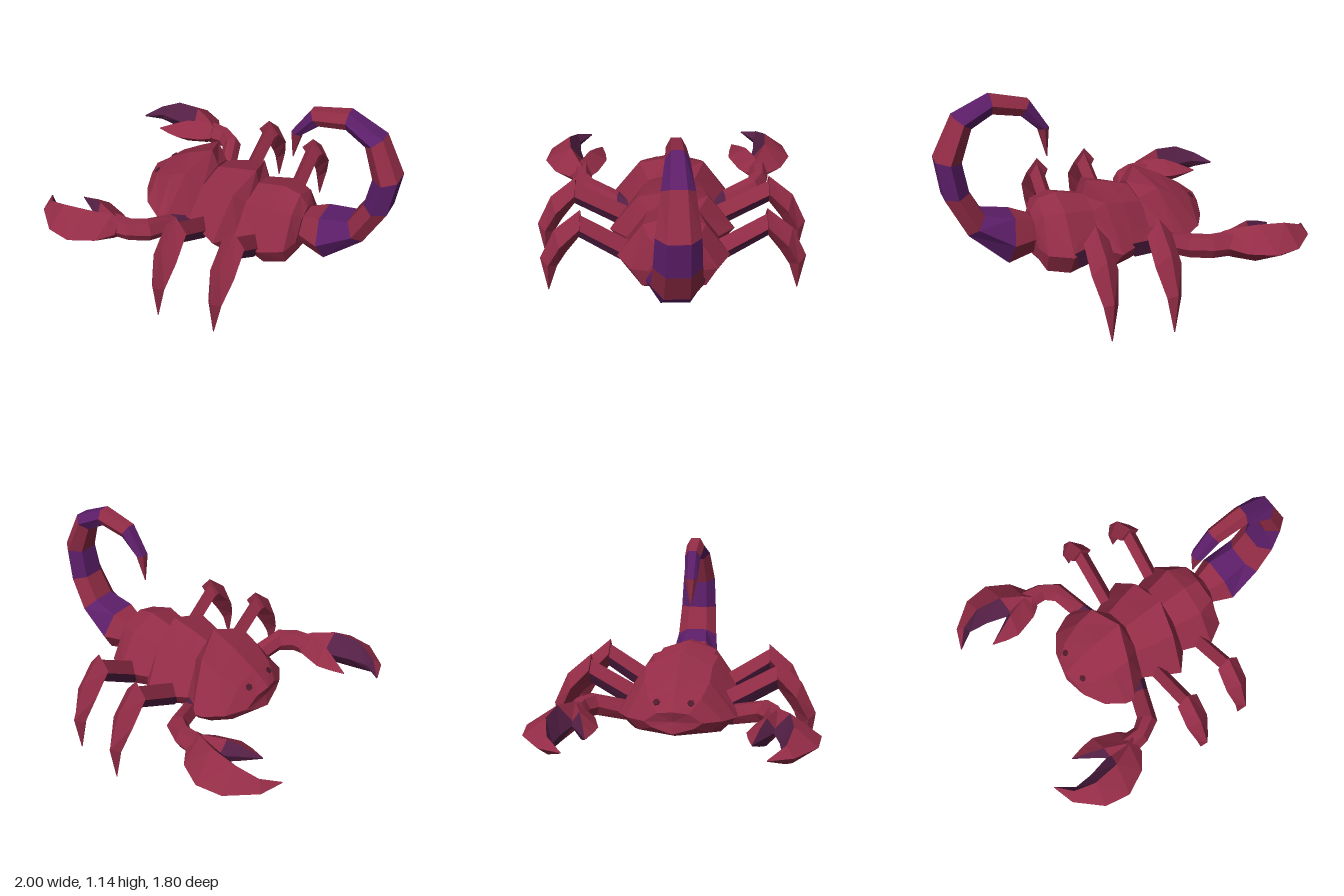
import * as THREE from 'three';

const V = (x, y, z) => new THREE.Vector3(x, y, z);
const colour = (name, hex) => {
  const m = new THREE.MeshStandardMaterial({ color: hex, flatShading: true });
  m.name = name;
  return m;
};

export function createModel() {
  const red = colour('crimson shell', 0x932c46);
  const purple = colour('purple bands', 0x5c1e69);
  const plum = colour('plum inner faces', 0x552046);
  const dark = colour('dark eyes', 0x4d1a2c);

  const model = new THREE.Group();
  model.name = 'scorpion';
  const body = new THREE.Group(); // local x runs from head to tail
  body.name = 'body';
  body.rotation.y = 0.405;
  body.position.set(-0.023, 0, -0.055);
  model.add(body);

  // Skin a row of rings, cap both ends; pick(i, j) chooses a material per face
  function loft(name, rings, pick = () => 0, side = 1) {
    const n = rings[0].length, tris = [];
    const centre = r => r.reduce((s, p) => s.add(p), V(0, 0, 0)).divideScalar(n);
    const add = (m, a, b, c) => tris.push({ m, p: [a, b, c] });
    for (let i = 0; i < rings.length - 1; i++) {
      for (let j = 0; j < n; j++) {
        const k = (j + 1) % n, a = rings[i], b = rings[i + 1], m = pick(i, j);
        add(m, a[j], a[k], b[k]);
        add(m, a[j], b[k], b[j]);
      }
    }
    const first = rings[0], last = rings[rings.length - 1];
    const c0 = centre(first), c1 = centre(last);
    for (let j = 0; j < n; j++) {
      const k = (j + 1) % n;
      add(0, c0, first[k], first[j]);
      add(0, c1, last[j], last[k]);
    }
    // Turn every face outwards whatever the ring direction
    let vol = 0;
    for (const { p } of tris) {
      vol += p[0].clone().sub(c0).dot(p[1].clone().sub(c0).cross(p[2].clone().sub(c0)));
    }
    const flip = vol * side < 0;
    tris.sort((s, t) => s.m - t.m);
    const pos = [], geo = new THREE.BufferGeometry();
    tris.forEach(({ m, p }, i) => {
      for (const q of flip ? [p[0], p[2], p[1]] : p) pos.push(q.x, q.y, q.z * side);
      const g = geo.groups[geo.groups.length - 1];
      if (g && g.materialIndex === m) g.count += 3;
      else geo.addGroup(i * 3, 3, m);
    });
    geo.setAttribute('position', new THREE.Float32BufferAttribute(pos, 3));
    geo.computeVertexNormals();
    const mesh = new THREE.Mesh(geo, [red, purple, plum]);
    mesh.name = name;
    body.add(mesh);
  }

  // Shell ring: position, half width, top, middle and bottom heights, side sweep
  const shell = ([u, w, top, mid, low, sweep = 0]) => {
    const half = [[0.55, top - 0.21 * (top - mid)], [1, mid], [0.74, low + 0.03]];
    const pt = ([f, y], s) => V(u + sweep * f, y, s * f * w);
    return [V(u, top, 0), ...half.map(h => pt(h, 1)), V(u, low, 0),
      ...half.slice().reverse().map(h => pt(h, -1))];
  };

  loft('headShell', [
    [-0.40, 0.16, 0.40, 0.33, 0.27, 0.03],
    [-0.30, 0.27, 0.48, 0.32, 0.22],
    [-0.17, 0.335, 0.56, 0.30, 0.18, -0.02],
    [-0.01, 0.345, 0.63, 0.30, 0.16, -0.12],
    [0.03, 0.24, 0.54, 0.30, 0.16, -0.03],
  ].map(shell));
  loft('middleShell', [
    [-0.03, 0.25, 0.51, 0.30, 0.17],
    [0.13, 0.32, 0.555, 0.29, 0.15, -0.02],
    [0.28, 0.36, 0.59, 0.28, 0.14, -0.08],
    [0.30, 0.24, 0.50, 0.28, 0.15],
  ].map(shell));
  loft('rearShell', [
    [0.25, 0.24, 0.50, 0.30, 0.16],
    [0.46, 0.31, 0.55, 0.29, 0.13],
    [0.56, 0.235, 0.53, 0.29, 0.14, 0.02],
    [0.61, 0.14, 0.46, 0.30, 0.20],
  ].map(shell));

  // Curled tail: outer point, inner point, half width
  const tail = [
    [0.58, 0.24, 0.58, 0.42, 0.09], [0.76, 0.21, 0.71, 0.47, 0.155],
    [0.965, 0.41, 0.87, 0.51, 0.13], [1.07, 0.63, 0.94, 0.65, 0.118],
    [1.095, 0.84, 0.965, 0.82, 0.108], [0.985, 1.06, 0.90, 0.99, 0.08],
    [0.79, 1.15, 0.785, 1.05, 0.058], [0.585, 1.10, 0.635, 1.02, 0.05],
    [0.485, 0.94, 0.54, 0.93, 0.04], [0.495, 0.77, 0.50, 0.77, 0.003],
  ].map(([ax, ay, bx, by, w]) => {
    const mx = (ax + bx) / 2, my = (ay + by) / 2, h = w * 0.5;
    return [V(ax, ay, h), V(mx, my, w), V(bx, by, h), V(bx, by, -h), V(mx, my, -w), V(ax, ay, -h)];
  });
  loft('tail', tail, i => i % 2);

  // Arm ring: two edges (x, z each), half height, centre height
  const armRing = ([ax, az, bx, bz, h, y]) => {
    const at = (t, dy) => V(ax + (bx - ax) * t, y + dy, az + (bz - az) * t);
    return [at(0, 0), at(0.28, h), at(0.72, h), at(1, 0), at(0.72, -h), at(0.28, -h)];
  };
  // Leg ring: top and bottom points (z, y each), half width, place along the body
  const legRing = u => ([az, ay, bz, by, w]) => {
    const y = (ay + by) / 2, z = (az + bz) / 2;
    return [V(u, ay, az), V(u + w, y, z), V(u, by, bz), V(u - w, y, z)];
  };

  for (const side of [1, -1]) {
    const tag = side > 0 ? 'Left' : 'Right';
    // The right claw reaches a little further forward and inward
    const reachOut = side > 0 ? 0 : 0.02;
    // Pincer ring: two edges, half height; the ridge lies at share t across
    const pincerRing = t => ([ax, az, bx, bz, h]) => {
      const y = 0.335, at = (s, dy) =>
        V(ax + (bx - ax) * s - reachOut, y + dy, az + (bz - az) * s - reachOut);
      return [at(0, 0), at(t, h), at(1, 0), at(t, -h)];
    };

    loft('arm' + tag, [
      [0.02, 0.20, -0.10, 0.20, 0.05, 0.25], [-0.03, 0.33, -0.14, 0.31, 0.055, 0.28],
      [-0.10, 0.53, -0.19, 0.45, 0.06, 0.33], [-0.22, 0.60, -0.24, 0.49, 0.06, 0.335],
      [-0.34, 0.62, -0.34, 0.49, 0.06, 0.335],
    ].map(armRing), i => (i === 0 ? 2 : 0), side);
    loft('largePincer' + tag, [
      [-0.28, 0.63, -0.29, 0.50, 0.065], [-0.345, 0.725, -0.32, 0.49, 0.085],
      [-0.48, 0.797, -0.44, 0.54, 0.11], [-0.627, 0.775, -0.60, 0.58, 0.10],
      [-0.772, 0.65, -0.71, 0.59, 0.05], [-0.815, 0.522, -0.811, 0.519, 0.004],
    ].map(pincerRing(0.65)), (i, j) => (i >= 2 && (j === 1 || j === 2) ? 2 : 0), side);
    loft('smallPincer' + tag, [
      [-0.29, 0.60, -0.28, 0.50, 0.06], [-0.35, 0.61, -0.335, 0.455, 0.08],
      [-0.45, 0.565, -0.475, 0.405, 0.08], [-0.53, 0.51, -0.555, 0.415, 0.05],
      [-0.639, 0.442, -0.639, 0.438, 0.004],
    ].map(pincerRing(0.35)), (i, j) => (i >= 2 && (j === 0 || j === 3) ? 2 : 0), side);

    // Two legs a side: sloping upper part and pointed lower part
    for (const [name, u, reach] of [['front', 0.085, 0.762], ['rear', 0.41, 0.712]]) {
      loft(name + 'UpperLeg' + tag, [
        [0.19, 0.32, 0.25, 0.19, 0.045], [reach - 0.20, 0.53, reach - 0.15, 0.41, 0.045],
      ].map(legRing(u)), (i, j) => (j === 1 || j === 2 ? 2 : 0), side);
      loft(name + 'LowerLeg' + tag, [
        [reach - 0.21, 0.56, reach - 0.20, 0.39, 0.068],
        [reach - 0.06, 0.43, reach - 0.12, 0.28, 0.072],
        [reach + 0.03, 0.24, reach - 0.06, 0.18, 0.04],
        [reach, 0.01, reach - 0.004, 0.01, 0.003],
      ].map(legRing(u)), undefined, side);
    }

    // Eyes lie flat on the sloping front of the head
    const normal = V(-0.9, 1, 0.29 * side).normalize();
    const eye = new THREE.Mesh(new THREE.CylinderGeometry(0.02, 0.02, 0.008, 6), dark);
    eye.name = 'eye' + tag;
    eye.quaternion.setFromUnitVectors(V(0, 1, 0), normal);
    eye.position.set(-0.335, 0.431, 0.095 * side);
    body.add(eye);
  }
  return model;
}
